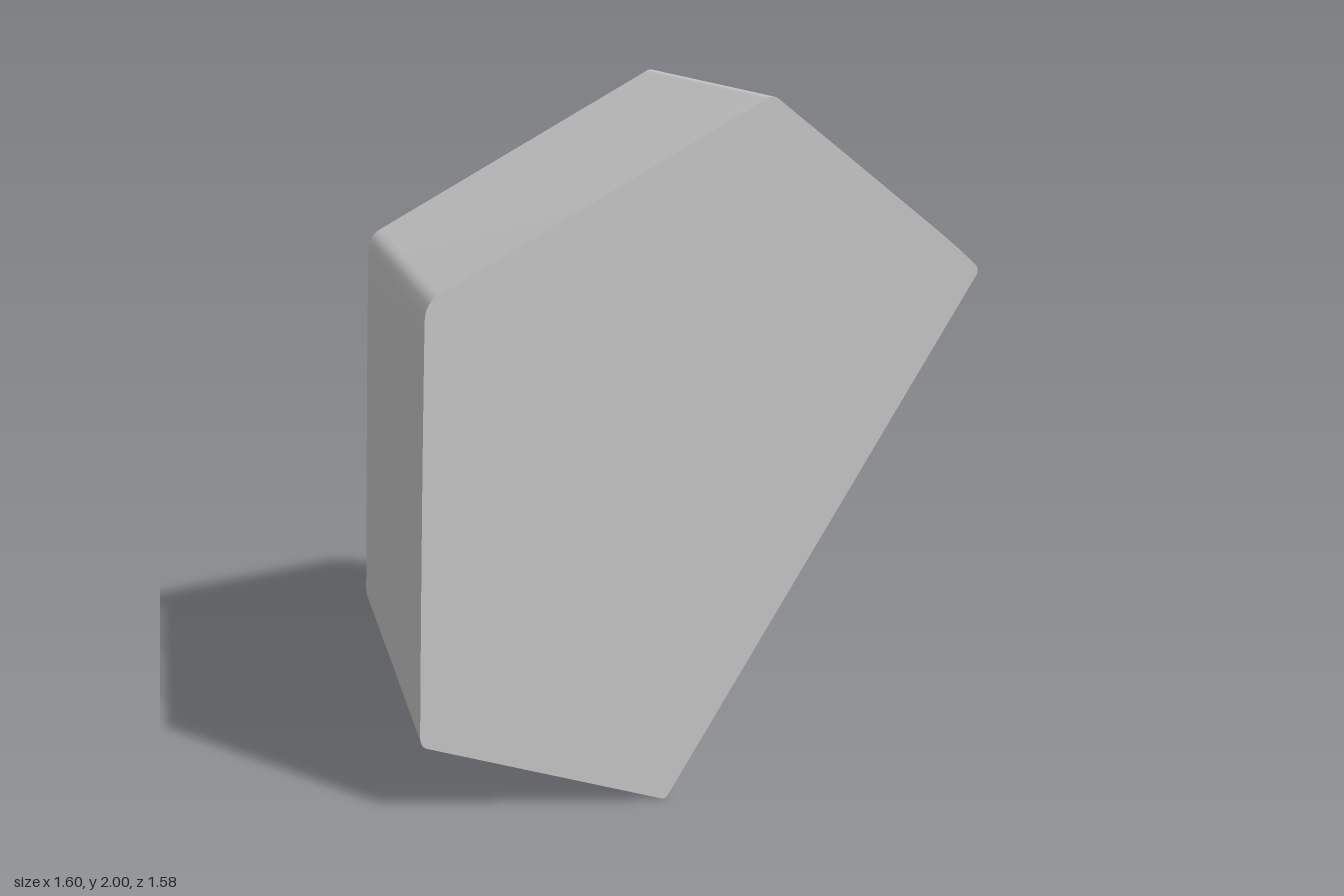
import * as THREE from 'three';
import { toCreasedNormals } from 'three/addons/utils/BufferGeometryUtils.js';

const DEPTH = 1.58;

// Five-sided outline with small rounded corners and a slightly bowed upper right side
function outline() {
  const s = new THREE.Shape();
  s.moveTo(-0.115, 0.002);
  s.quadraticCurveTo(-0.103, -0.002, -0.095, 0.012); // bottom tip
  s.lineTo(0.792, 1.483);
  s.quadraticCurveTo(0.808, 1.506, 0.79, 1.52); // right tip
  s.quadraticCurveTo(0.745, 1.565, 0.67, 1.625);
  s.quadraticCurveTo(0.43, 1.818, 0.22, 1.985); // bowed side
  s.quadraticCurveTo(0.197, 2.008, 0.175, 1.991); // top tip
  s.lineTo(-0.73, 1.478);
  s.quadraticCurveTo(-0.768, 1.457, -0.771, 1.41); // upper left corner
  s.quadraticCurveTo(-0.787, 0.95, -0.804, 0.24);
  s.quadraticCurveTo(-0.806, 0.205, -0.785, 0.199); // lower left corner
  s.closePath();
  return s;
}

export function createModel() {
  const group = new THREE.Group();
  group.name = 'prism';

  const geometry = new THREE.ExtrudeGeometry(outline(), {
    depth: DEPTH,
    bevelEnabled: false,
    curveSegments: 6,
  });
  geometry.translate(0, 0, -DEPTH / 2);

  // Smooth rounded corners, crisp end faces
  const body = new THREE.Mesh(
    toCreasedNormals(geometry, Math.PI / 6),
    new THREE.MeshStandardMaterial({ color: 0xcccccc })
  );
  body.name = 'prismBody';
  group.add(body);
  return group;
}
